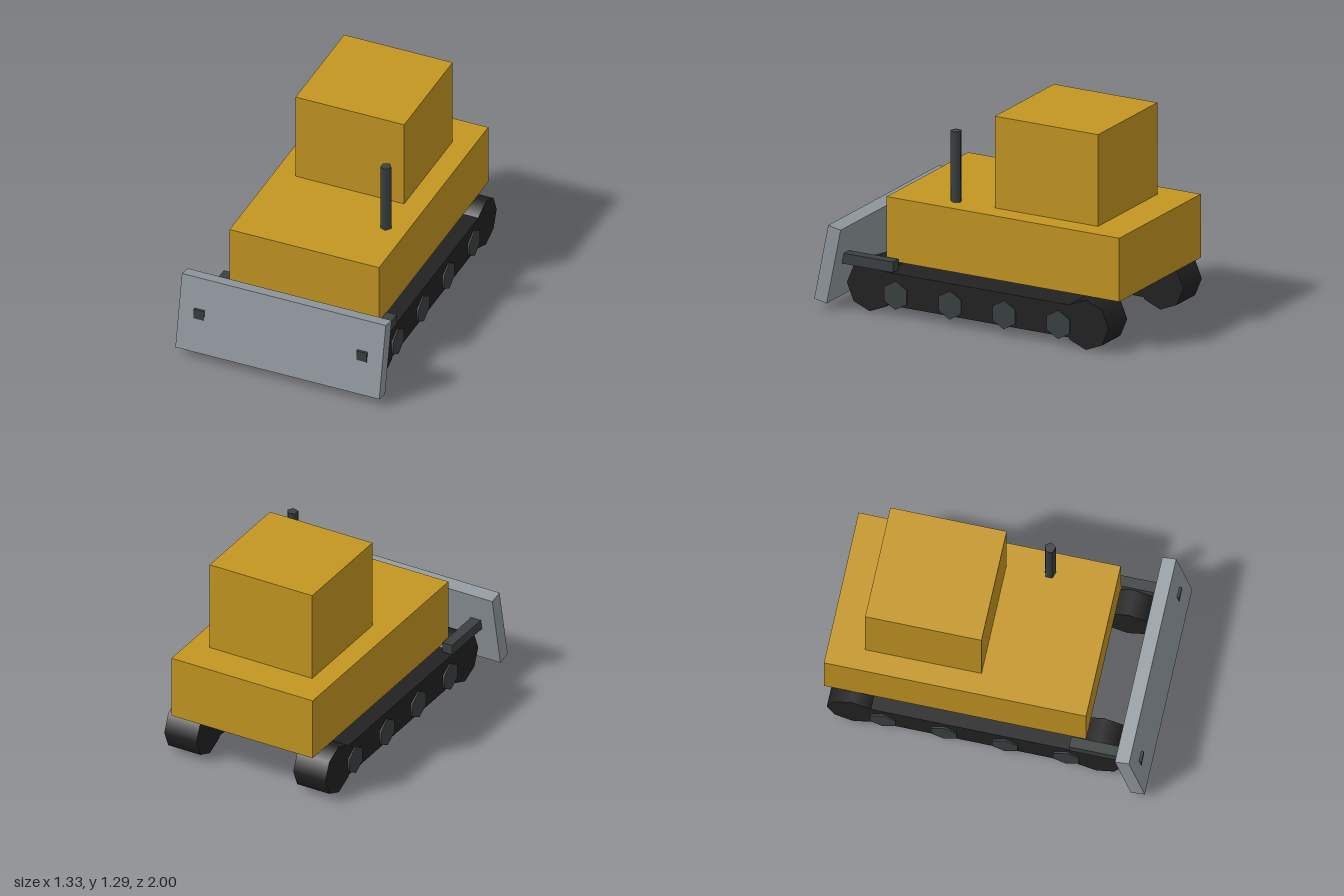
import * as THREE from 'three';

const mat = (name, color) => {
  const m = new THREE.MeshStandardMaterial({ color });
  m.name = name;
  return m;
};

export function createModel() {
  const yellow = mat('machine yellow', 0xc49622);
  const steel = mat('blade steel', 0x91999f);
  const iron = mat('dark iron', 0x3a4040);
  const rubber = mat('track black', 0x222222);

  const model = new THREE.Group();
  model.name = 'bulldozer';

  const add = (parent, name, geometry, material, x, y, z) => {
    const mesh = new THREE.Mesh(geometry, material);
    mesh.name = name;
    mesh.position.set(x, y, z);
    parent.add(mesh);
    return mesh;
  };
  const box = (w, h, d) => new THREE.BoxGeometry(w, h, d);
  // Cylinder lying along x
  const axle = (r, width, sides, start = 0) =>
    new THREE.CylinderGeometry(r, r, width, sides, 1, false, start).rotateZ(Math.PI / 2);

  // Body and cab
  add(model, 'body', box(0.978, 0.4, 1.604), yellow, 0, 0.514, -0.198);
  add(model, 'cab', box(0.71, 0.577, 0.712), yellow, 0, 1.0025, -0.421);

  // Five-sided exhaust pipe, with a corner towards +x
  const pipe = new THREE.CylinderGeometry(0.035, 0.035, 0.445, 5).rotateY(Math.PI / 2);
  add(model, 'exhaust', pipe, iron, 0.355, 0.936, 0.2);

  // Blade, leaning back at the top
  const blade = add(model, 'blade', box(1.334, 0.486, 0.0875), steel, 0, 0.288, 0.91);
  blade.rotation.x = -0.2;

  // Tracks, rollers and blade arms on both sides
  for (const side of [1, -1]) {
    const label = side > 0 ? 'left' : 'right';
    const track = new THREE.Group();
    track.name = label + 'Track';
    model.add(track);

    add(track, 'trackBelt', box(0.223, 0.205, 1.491), rubber, side * 0.447, 0.162, -0.0645);
    for (const z of [0.681, -0.81]) {
      add(track, 'endWheel', axle(0.157, 0.223, 8), rubber, side * 0.447, 0.157, z);
    }
    for (let i = 0; i < 4; i++) {
      add(track, 'roller', axle(0.09, 0.044, 6, Math.PI / 6), iron, side * 0.547, 0.131, 0.498 - i * 0.374);
    }
    add(model, label + 'BladeArm', box(0.067, 0.066, 0.444), iron, side * 0.533, 0.305, 0.738);
  }

  return model;
}
